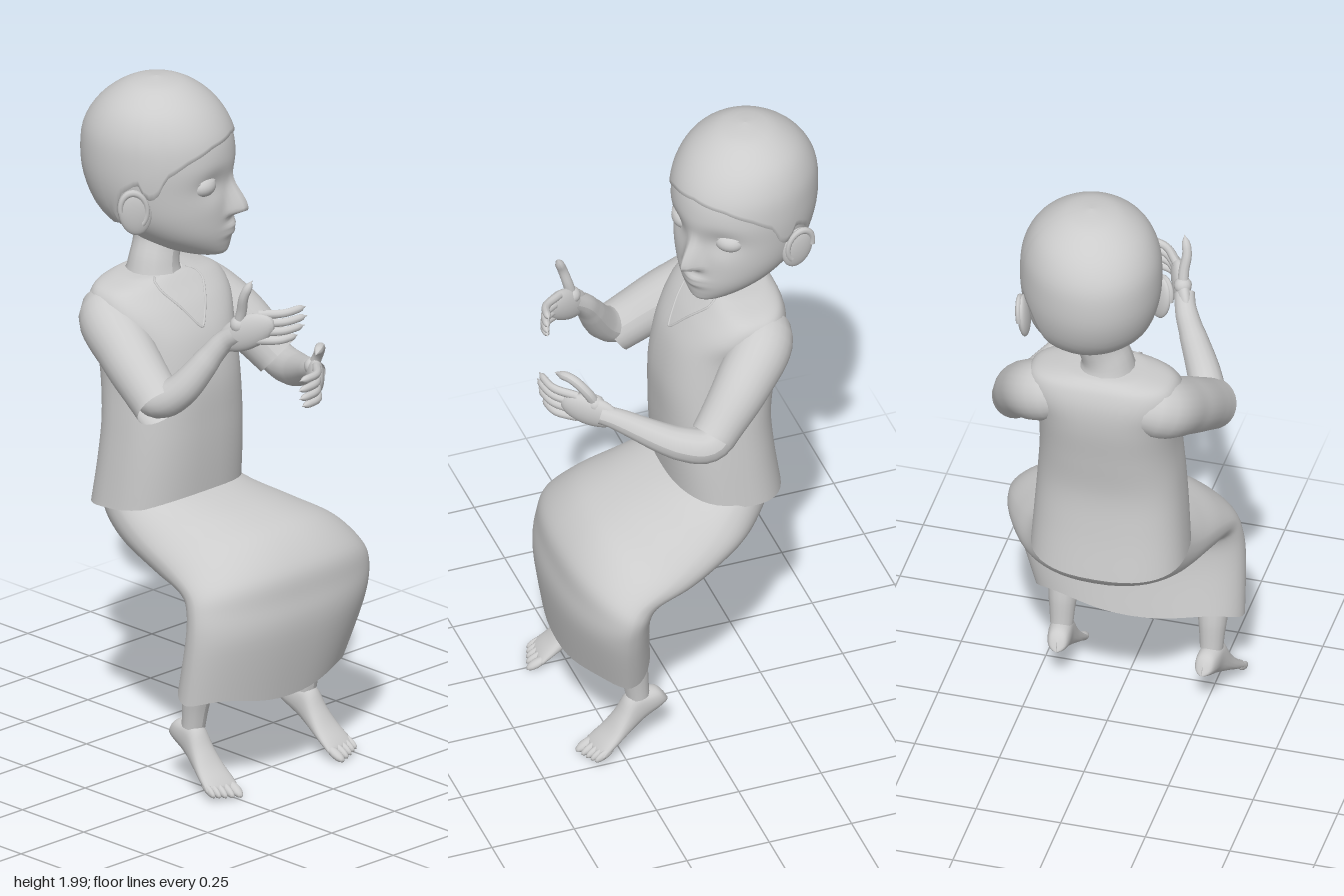
import * as THREE from 'three';

const mat = new THREE.MeshStandardMaterial({ color: 0xcccccc, side: THREE.DoubleSide });
const V = (p) => new THREE.Vector3(...p);
const { smoothstep, lerp } = THREE.MathUtils;

function add(parent, name, geo, pos = [0, 0, 0], scale = [1, 1, 1], rot = [0, 0, 0]) {
  const m = new THREE.Mesh(geo, mat);
  m.name = name;
  m.position.set(...pos);
  m.scale.set(...scale);
  m.rotation.set(...rot);
  parent.add(m);
  return m;
}

// smooth in-between rows from a few cross-section rows
function resample(rows, n) {
  return Array.from({ length: n + 1 }, (_, k) => {
    const f = (k / n) * (rows.length - 1), i = Math.min(Math.floor(f), rows.length - 2), t = f - i;
    const q = [-1, 0, 1, 2].map((d) => rows[Math.max(0, Math.min(rows.length - 1, i + d))]);
    return rows[0].map((_, c) => {
      const [a, b, e, g] = q.map((r) => r[c]);
      return b + 0.5 * t * (e - a + t * (2 * a - 5 * b + 4 * e - g + t * (3 * (b - e) + g - a)));
    });
  });
}

// skin over closed rings: rowCount rings, point(i, angle) gives a corner
function loft(rowCount, segs, point) {
  const pos = [], idx = [];
  for (let i = 0; i < rowCount; i++)
    for (let j = 0; j < segs; j++) pos.push(...point(i, (j / segs) * Math.PI * 2));
  for (let i = 0; i < rowCount - 1; i++)
    for (let j = 0; j < segs; j++) {
      const k = (j + 1) % segs, a = i * segs + j, b = i * segs + k;
      idx.push(a, b, b + segs, a, b + segs, a + segs);
    }
  const g = new THREE.BufferGeometry();
  g.setAttribute('position', new THREE.Float32BufferAttribute(pos, 3));
  g.setIndex(idx);
  g.computeVertexNormals();
  return g;
}

// round limb through points with radii spread evenly along it
function limb(pts, radii, segs = 20, sides = 16) {
  const curve = new THREE.CatmullRomCurve3(pts.map(V));
  const g = new THREE.TubeGeometry(curve, segs, 1, sides);
  const rs = resample(radii.map((r) => [r]), 60), p = g.attributes.position, v = new THREE.Vector3();
  for (let i = 0; i <= segs; i++) {
    const c = curve.getPointAt(i / segs);
    const r = Math.max(0.0005, rs[Math.round(curve.getUtoTmapping(i / segs) * 60)][0]);
    for (let j = 0; j <= sides; j++) {
      const k = i * (sides + 1) + j;
      v.fromBufferAttribute(p, k).sub(c).multiplyScalar(r).add(c);
      p.setXYZ(k, v.x, v.y, v.z);
    }
  }
  g.computeVertexNormals();
  return g;
}

const power = (c, e) => Math.sign(c) * Math.abs(c) ** e;

function makeHead() {
  const head = new THREE.Group();
  head.name = 'head';
  head.position.set(-0.002, 0, -0.19);
  head.rotation.y = 0.49;
  // height, front, back, half width
  const prof = resample([
    [1.48, 0.14, 0.14, 0], [1.486, 0.184, 0.05, 0.045], [1.513, 0.197, -0.04, 0.093], [1.56, 0.203, -0.12, 0.141],
    [1.62, 0.203, -0.185, 0.174], [1.7, 0.203, -0.222, 0.191], [1.78, 0.208, -0.233, 0.196],
    [1.86, 0.19, -0.222, 0.187], [1.93, 0.14, -0.175, 0.151], [1.98, 0.065, -0.1, 0.081], [1.994, -0.02, -0.02, 0],
  ], 2400);
  const rowAt = (y) => prof.find((r) => r[0] >= y) || prof[2400];
  const skull = ([y, f, b, w], a) => [w * Math.sin(a), y, (f + b) / 2 + ((f - b) / 2) * Math.cos(a)];
  const bell = (d, s) => Math.exp(-(d * d) / (2 * s * s));
  // nose, lips and eye sockets raise or lower the face
  const relief = (x, y) => {
    const nose = smoothstep(y, 1.597, 1.623) * (1 - smoothstep(y, 1.623, 1.74));
    return 0.052 * nose * bell(x, 0.012 + 0.08 * Math.max(0, 1.7 - y))
      + bell(x, 0.026) * (0.011 * bell(y - 1.572, 0.007) + 0.01 * bell(y - 1.552, 0.008))
      - 0.016 * bell(Math.abs(x) - 0.085, 0.035) * bell(y - 1.713, 0.03);
  };
  add(head, 'face', loft(81, 96, (i, a) => {
    const p = skull(prof[i * 30], a);
    if (Math.cos(a) > 0) p[2] += relief(p[0], p[1]);
    return p;
  }));
  // hair cap with sideburns
  const line = [[0, 1.845], [0.5, 1.832], [0.9, 1.8], [1.2, 1.76], [1.33, 1.7], [1.48, 1.69], [1.58, 1.74], [1.85, 1.7], [2.15, 1.6], [3.15, 1.555]];
  const hairline = (a) => {
    const k = Math.max(1, line.findIndex((p) => p[0] >= a)), [p, q] = [line[k - 1], line[k]];
    return lerp(p[1], q[1], (a - p[0]) / (q[0] - p[0]));
  };
  add(head, 'hair', loft(26, 96, (i, a) => {
    const low = hairline(Math.min(a, Math.PI * 2 - a)), t = Math.max(0, i - 1) / 24;
    const p = skull(i < 25 ? rowAt(lerp(low, 1.994, Math.sin((t * Math.PI) / 2))) : prof[2400], a), s = i ? 1.03 : 0.99;
    return [p[0] * s, 1.78 + (p[1] - 1.78) * s, p[2] * s];
  }));
  for (const s of [1, -1]) {
    const ball = new THREE.SphereGeometry(1, 24, 16);
    add(head, 'eye', ball, [s * 0.086, 1.712, 0.143], [0.045, 0.032, 0.036], [0, s * 0.4, 0]);
    add(head, 'eyelid', new THREE.SphereGeometry(1, 24, 8, 0, Math.PI * 2, 0, 1.05), [s * 0.086, 1.713, 0.143], [0.05, 0.036, 0.04], [0, s * 0.4, 0]);
    const ear = new THREE.Group();
    ear.name = 'ear';
    ear.position.set(s * 0.198, 1.652, -0.022);
    ear.rotation.set(-0.15, -s * 0.38, -s * 0.14);
    add(ear, 'earShell', ball, [0, 0, 0], [0.017, 0.071, 0.047]);
    add(ear, 'earRim', new THREE.TorusGeometry(0.038, 0.008, 8, 28, 4.2), [s * 0.008, 0.012, -0.003], [1, 1.4, 1], [0, Math.PI / 2, 0]);
    head.add(ear);
  }
  return head;
}

// palm, four fingers stacked in height, and a thumb
function makeHand(name, wrist, knuckle, tip, lean, thumb) {
  const hand = new THREE.Group();
  hand.name = name;
  const w = V(wrist), k = V(knuckle), t = V(tip);
  const palm = add(hand, 'palm', new THREE.SphereGeometry(1, 20, 14), w.clone().lerp(k, 0.54).toArray(), [0.025, 0.05, w.distanceTo(k) * 0.63]);
  palm.lookAt(k);
  const digit = (r) => [1, 1.02, 1, 0.97, 0.94, 0.9, 0.8, 0].map((f) => f * r);
  for (let i = 0; i < 4; i++) {
    const off = new THREE.Vector3(lean * (1.5 - i), 0.025 * (1.5 - i), 0);
    const shorten = [0.06, 0, 0.04, 0.18][i];
    const base = k.clone().lerp(w, 0.2).add(off), end = t.clone().lerp(k, shorten).addScaledVector(off, 1.1);
    const mid = base.clone().lerp(end, 0.5).add(new THREE.Vector3(-0.011 * Math.sign(t.x - k.x), 0, 0.02));
    add(hand, 'finger', limb([base, mid, end].map((p) => p.toArray()), digit(0.0125), 18, 10));
  }
  add(hand, 'thumb', limb(thumb, digit(0.0155), 20, 10));
  add(hand, 'thumbBase', new THREE.SphereGeometry(0.026, 14, 10), thumb[0]);
  return hand;
}

// bare foot with toes, heel at its origin, pointing to +z
function makeFoot(s) {
  const foot = new THREE.Group();
  foot.name = 'foot';
  // distance from heel, half width, height
  const rows = resample([[0.262, 0.001, 0.006], [0.258, 0.05, 0.02], [0.235, 0.054, 0.03], [0.19, 0.049, 0.044], [0.14, 0.041, 0.07],
    [0.085, 0.035, 0.104], [0.035, 0.033, 0.082], [0.008, 0.024, 0.06], [0, 0.001, 0.03]], 32);
  add(foot, 'sole', loft(33, 24, (i, a) => {
    const [z, w, h] = rows[i];
    return [w * Math.sin(a), (h / 2) * (1 + power(Math.cos(a), 0.8)), z];
  }));
  [0.016, 0.0115, 0.011, 0.0105, 0.01].forEach((r, i) => {
    const x = -s * [0.038, 0.013, -0.008, -0.027, -0.044][i];
    add(foot, 'toe', new THREE.SphereGeometry(1, 12, 10), [x, 0.012, 0.268 - i * 0.006], [r, 0.013, 0.034]);
  });
  foot.position.set(s > 0 ? 0.178 : -0.25, 0.148, 0.098);
  foot.rotation.set(0.49, s * 0.1, 0, 'YXZ');
  return foot;
}

export function createModel() {
  const model = new THREE.Group();
  model.name = 'seatedChild';
  model.add(makeHead());
  add(model, 'neck', limb([[-0.05, 1.36, -0.18], [-0.05, 1.45, -0.18], [-0.03, 1.52, -0.185], [-0.02, 1.6, -0.19]], [0.1, 0.075, 0.07, 0.08]));

  // shirt body: height, x from, x to, front z, back z
  const shirt = resample([
    [0.77, -0.275, 0.18, 0.035, -0.3], [0.9, -0.265, 0.173, 0.045, -0.28], [1.02, -0.255, 0.165, 0.05, -0.272], [1.15, -0.245, 0.156, 0.05, -0.29],
    [1.27, -0.25, 0.16, 0.025, -0.31], [1.35, -0.265, 0.182, -0.02, -0.312], [1.405, -0.245, 0.165, -0.07, -0.297],
    [1.43, -0.175, 0.085, -0.095, -0.275], [1.437, -0.125, 0.025, -0.105, -0.255],
  ], 48);
  const shirtPoint = (i, a) => {
    const [y, x0, x1, f, b] = shirt[i], c = Math.cos(a);
    const lift = 0.025 * c * Math.max(0, 1 - i / 12);
    return [(x0 + x1) / 2 + ((x1 - x0) / 2) * power(Math.sin(a), 0.8), y + lift, (f + b) / 2 + ((f - b) / 2) * power(c, 0.8)];
  };
  add(model, 'shirt', loft(49, 48, shirtPoint));
  // V-shaped neckline
  const collar = [-4, -3, -2, -1, 0, 1, 2, 3, 4].map((k) => V(shirtPoint(26 + Math.abs(k) * 5, Math.sign(k) * 0.15 * Math.abs(k) ** 1.1)));
  add(model, 'collar', new THREE.TubeGeometry(new THREE.CatmullRomCurve3(collar, false, 'catmullrom', 0.3), 64, 0.004, 6));

  // sleeves, arms and hands
  add(model, 'rightSleeve', limb([[-0.1, 1.335, -0.21], [-0.2, 1.325, -0.207], [-0.252, 1.25, -0.08], [-0.287, 1.14, 0.09]], [0.05, 0.086, 0.084, 0.074], 24, 24));
  add(model, 'leftSleeve', limb([[0.02, 1.335, -0.21], [0.125, 1.325, -0.212], [0.212, 1.245, -0.12], [0.272, 1.125, -0.005]], [0.05, 0.086, 0.082, 0.066], 24, 24));
  add(model, 'rightArm', limb([[-0.25, 1.25, -0.06], [-0.28, 1.155, 0.06], [-0.255, 1.19, 0.13], [-0.172, 1.345, 0.225], [-0.155, 1.38, 0.265]], [0.05, 0.052, 0.05, 0.032, 0.03], 32));
  add(model, 'leftArm', limb([[0.22, 1.22, -0.1], [0.28, 1.11, 0.0], [0.258, 1.112, 0.08], [0.162, 1.18, 0.25], [0.14, 1.19, 0.285]], [0.05, 0.052, 0.05, 0.032, 0.03], 32));
  model.add(makeHand('rightHand', [-0.172, 1.345, 0.225], [-0.112, 1.418, 0.342], [-0.002, 1.415, 0.395], 0.004,
    [[-0.15, 1.405, 0.268], [-0.15, 1.45, 0.28], [-0.155, 1.5, 0.295], [-0.142, 1.55, 0.315]]));
  model.add(makeHand('leftHand', [0.162, 1.18, 0.248], [0.075, 1.2, 0.36], [-0.05, 1.2, 0.41], 0,
    [[0.12, 1.215, 0.295], [0.118, 1.26, 0.32], [0.09, 1.297, 0.355], [0.038, 1.295, 0.39]]));

  // long skirt over the bent knees, from hem to waist: front z, front y, back z, back y, x from, x to
  const skirt = resample([
    [0.358, 0.282, 0.125, 0.315, -0.34, 0.275], [0.39, 0.47, 0.145, 0.46, -0.336, 0.335], [0.384, 0.57, 0.143, 0.55, -0.328, 0.358],
    [0.366, 0.655, 0.1, 0.575, -0.317, 0.349], [0.29, 0.735, -0.02, 0.585, -0.302, 0.327], [0.19, 0.775, -0.17, 0.635, -0.285, 0.265],
    [0.09, 0.8, -0.245, 0.7, -0.272, 0.205], [0.02, 0.815, -0.275, 0.775, -0.262, 0.168],
  ], 42);
  add(model, 'skirt', loft(43, 56, (i, a) => {
    const [fz, fy, bz, by, x0, x1] = skirt[i];
    const c = power(Math.cos(a), Math.cos(a) > 0 ? 1.12 : 0.92), t = (1 + c) / 2;
    const wave = -0.012 * Math.cos(a * 4) * Math.max(0, 1 - i / 8);
    return [(x0 + x1) / 2 + ((x1 - x0) / 2) * power(Math.sin(a), 0.88), lerp(by, fy, t) + wave, lerp(bz, fz, t)];
  }));

  // lower legs and feet
  for (const s of [1, -1]) {
    const x = s > 0 ? 0.187 : -0.256;
    add(model, s > 0 ? 'leftLeg' : 'rightLeg', limb([[x - s * 0.01, 0.54, 0.25], [x, 0.42, 0.24], [x, 0.28, 0.205], [x, 0.19, 0.192]], [0.058, 0.056, 0.042, 0.034]));
    model.add(makeFoot(s));
  }
  return model;
}
